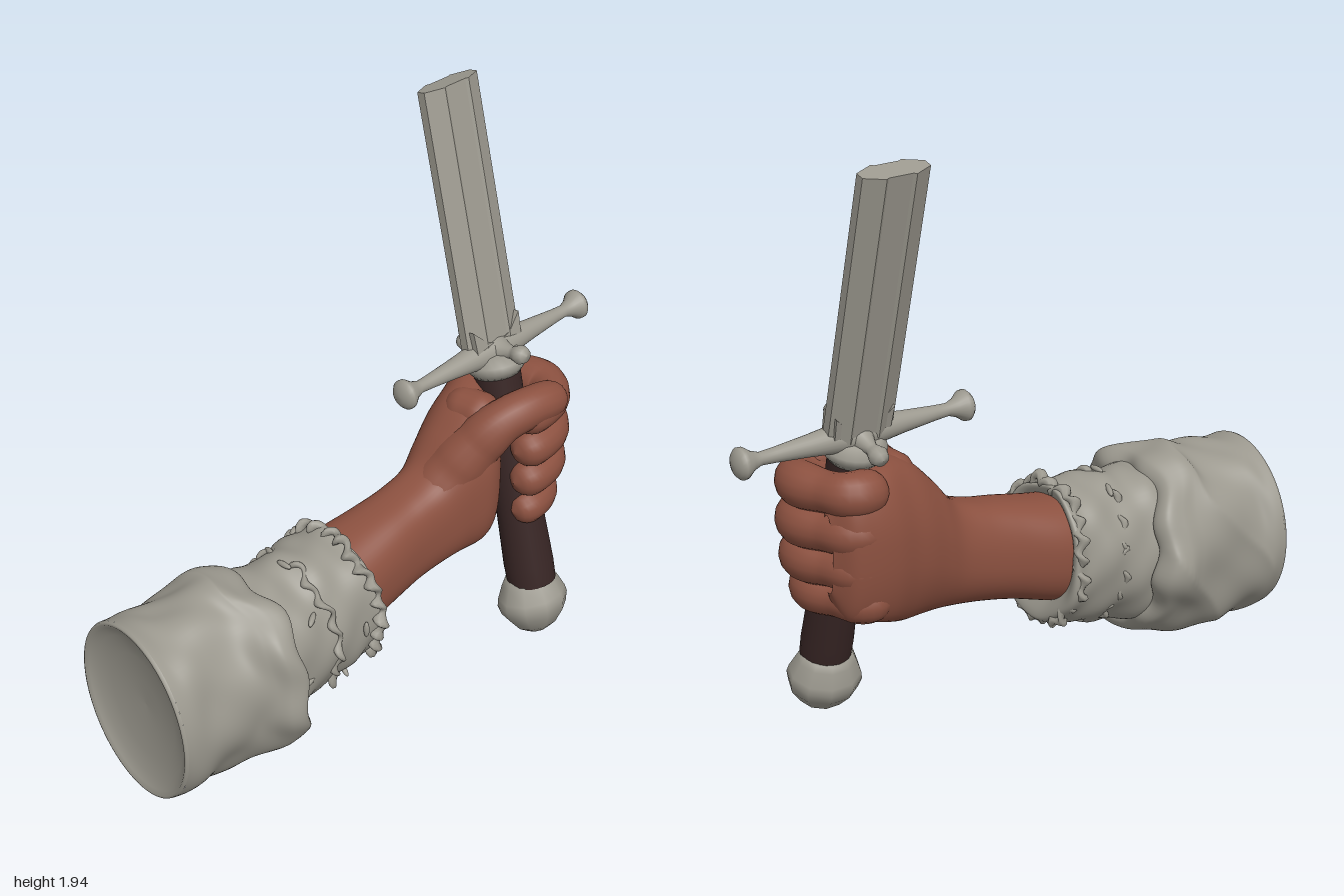
import * as THREE from 'three';

const V = (x, y, z) => new THREE.Vector3(x, y, z);
const material = (name, color) => Object.assign(new THREE.MeshStandardMaterial({ color }), { name });
const { lerp, smoothstep } = THREE.MathUtils;

// Closed surface through rings of equal length; rings turn about the direction of travel
function skin(rings, closed = false) {
  const n = rings[0].length, pos = [], index = [];
  rings.forEach(r => r.forEach(p => pos.push(p.x, p.y, p.z)));
  const last = closed ? rings.length : rings.length - 1;
  for (let i = 0; i < last; i++) for (let j = 0; j < n; j++) {
    const k = (j + 1) % n, m = (i + 1) % rings.length;
    const a = i * n + j, b = i * n + k, c = m * n + k, d = m * n + j;
    index.push(a, b, c, a, c, d);
  }
  const g = new THREE.BufferGeometry();
  g.setAttribute('position', new THREE.Float32BufferAttribute(pos, 3));
  g.setIndex(index);
  g.computeVertexNormals();
  return g;
}

// Loft running towards -z through keys [z, xMin, xMax, yMin, yMax]
function loft(keys, rows, cols, bump, shift = () => 0, power = 1) {
  const spline = f => new THREE.CatmullRomCurve3(keys.map(f), false, 'catmullrom', 0.5);
  const centre = spline(k => V((k[1] + k[2]) / 2, (k[3] + k[4]) / 2, k[0]));
  const radius = spline(k => V((k[2] - k[1]) / 2, (k[4] - k[3]) / 2, 0));
  const round = v => Math.sign(v) * Math.abs(v) ** power;
  const rings = [];
  for (let i = 0; i <= rows; i++) {
    const c = centre.getPoint(i / rows), r = radius.getPoint(i / rows), ring = [];
    for (let j = 0; j < cols; j++) {
      const a = j / cols * Math.PI * 2, s = 1 + bump(a, c.z);
      ring.push(V(c.x + round(Math.cos(a)) * r.x * s, c.y - round(Math.sin(a)) * r.y * s, c.z + shift(a, c.z)));
    }
    rings.push(ring);
  }
  return skin(rings);
}

// Round-ended limb along a curve, with a radius for every point
function limb(points, radii, rows = 48, cols = 16) {
  const curve = new THREE.CatmullRomCurve3(points);
  const frames = curve.computeFrenetFrames(rows);
  const length = curve.getLength(), rings = [];
  for (let i = 0; i <= rows; i++) {
    const t = i / rows, f = t * (radii.length - 1), k = Math.min(Math.floor(f), radii.length - 2);
    let r = lerp(radii[k], radii[k + 1], smoothstep(f - k, 0, 1));
    const end = Math.min(t, 1 - t) * length;
    if (end < r) r = Math.max(0.001, Math.sqrt(r * r - (r - end) ** 2));
    const p = curve.getPointAt(t), ring = [];
    for (let j = 0; j < cols; j++) {
      const a = j / cols * Math.PI * 2;
      ring.push(p.clone().addScaledVector(frames.normals[i], Math.cos(a) * r).addScaledVector(frames.binormals[i], Math.sin(a) * r));
    }
    rings.push(ring);
  }
  return skin(rings);
}

const lathe = (pts, sides = 24) => new THREE.LatheGeometry(pts.map(p => new THREE.Vector2(...p)), sides);

// Plate drawn in (u, v) and extruded, centred on its depth
function plate(pts, depth) {
  const g = new THREE.ExtrudeGeometry(new THREE.Shape(pts.map(p => new THREE.Vector2(...p))), { depth, bevelEnabled: false });
  return g.translate(0, 0, -depth / 2);
}

export function createModel() {
  const model = new THREE.Group();
  model.name = 'armWithSword';
  const metal = material('steelGrey', 0x9c998f);
  const cloth = material('clothGrey', 0x9b988e);
  const flesh = material('skinBrown', 0x8c5140);
  const leather = material('darkLeather', 0x372524);
  const add = (parent, name, geometry, mat) => {
    const m = new THREE.Mesh(geometry, mat);
    m.name = name;
    parent.add(m);
    return m;
  };

  // Sword, leaning towards -x, with its origin at the guard
  const sword = new THREE.Group();
  sword.name = 'sword';
  sword.position.set(-0.02, 1.03, -0.57);
  sword.rotation.z = 0.2545;
  model.add(sword);

  // Blade: bevelled edges, two ridges and a shallow fuller on each face, square end
  const half = [[0.016, -0.117], [0.045, -0.052], [0.039, -0.042], [0.039, 0.042], [0.045, 0.052], [0.016, 0.117]];
  const blade = plate([...half, ...half.map(([x, z]) => [-x, -z])], 0.92);
  add(sword, 'blade', blade.rotateX(-Math.PI / 2).translate(-0.006, 0.462, 0), metal);
  const langet = plate([[-0.1, 0], [0.1, 0], [0.105, 0.1], [0.05, 0.045], [0, 0.03], [-0.05, 0.045], [-0.105, 0.1]], 0.075);
  add(sword, 'langet', langet.rotateY(Math.PI / 2), metal);

  // Cross guard with flared ends and small side knobs
  for (const s of [1, -1]) {
    const arm = lathe([[0.055, 0], [0.048, 0.06], [0.035, 0.17], [0.024, 0.29], [0.021, 0.34], [0.032, 0.37], [0.05, 0.395], [0.051, 0.408], [0.04, 0.42], [0.02, 0.429], [0, 0.43]]);
    add(sword, 'guardArm', arm.rotateX(s * Math.PI / 2), metal);
    const knob = lathe([[0.065, 0], [0.035, 0.05], [0.02, 0.09], [0.026, 0.108], [0.033, 0.13], [0.024, 0.152], [0, 0.16]], 16);
    add(sword, 'guardKnob', knob.rotateZ(-s * Math.PI / 2), metal);
  }
  add(sword, 'collar', lathe([[0, -0.085], [0.08, -0.085], [0.1, -0.06], [0.104, -0.035], [0.08, -0.005], [0, 0]]), metal);

  // Grip
  add(sword, 'grip', lathe([[0.084, -0.87], [0.086, -0.8], [0.08, -0.6], [0.076, -0.3], [0.08, -0.06]]), leather);
  // Pommel with a sharp waist and a blunt, faceted foot
  const pommel = lathe([[0, -1.064], [0.045, -1.06], [0.08, -1.035], [0.118, -0.985], [0.127, -0.95], [0.122, -0.925], [0.1, -0.875], [0.088, -0.855], [0.075, -0.85], [0, -0.85]], 10);
  add(sword, 'pommel', pommel.scale(0.92, 1, 1), metal).position.x = -0.012;

  // Forearm widening into the back of the hand and the palm
  const armKeys = [
    [0.3, -0.17, 0.16, 0.25, 0.61], [0.15, -0.165, 0.16, 0.27, 0.63], [0, -0.135, 0.15, 0.31, 0.66], [-0.12, -0.12, 0.14, 0.335, 0.685],
    [-0.22, -0.12, 0.145, 0.35, 0.725], [-0.3, -0.14, 0.165, 0.36, 0.815], [-0.38, -0.165, 0.185, 0.365, 0.895], [-0.45, -0.18, 0.15, 0.375, 0.93],
    [-0.53, -0.2, 0.05, 0.41, 0.935], [-0.61, -0.2, 0.0, 0.44, 0.925], [-0.68, -0.18, -0.01, 0.46, 0.91], [-0.725, -0.12, -0.06, 0.56, 0.82]];
  const tendons = (a, z) => 0.012 * Math.sin(a * 5 + z * 4) * smoothstep(-z, -0.2, 0.2);
  add(model, 'forearmAndPalm', loft(armKeys, 90, 56, tendons, () => 0, 0.85), flesh);

  // Four fingers curling round the grip
  const hand = new THREE.Group();
  hand.name = 'fingers';
  model.add(hand);
  [[0.874, 0.07, -0.71], [0.747, 0.073, -0.71], [0.625, 0.071, -0.703], [0.507, 0.067, -0.675]].forEach(([y, r, back], i) => {
    const path = [V(-0.11, y, -0.53), V(-0.115, y + 0.005, back + 0.06), V(-0.03, y, back + 0.015), V(0.085, y - 0.003, back - 0.008),
      V(0.15, y - 0.005, back + 0.04), V(0.173, y - 0.01, back + 0.13), V(0.165, y - 0.015, -0.495)];
    add(hand, 'finger' + (i + 1), limb(path, [r, r * 1.06, r * 0.94, r * 1.06, r * 0.97, r * 0.97, r * 0.88]), flesh);
  });
  // Thumb rising out of the palm and laid over the first finger
  const thumb = [V(0.01, 0.55, -0.21), V(0.045, 0.68, -0.315), V(0.095, 0.79, -0.385), V(0.14, 0.868, -0.45), V(0.17, 0.898, -0.54), V(0.178, 0.895, -0.62), V(0.168, 0.872, -0.7)];
  add(model, 'thumb', limb(thumb, [0.07, 0.108, 0.1, 0.085, 0.073, 0.068, 0.058]), flesh);
  // Web of flesh between thumb and first finger
  const web = [V(-0.08, 0.852, -0.42), V(0.02, 0.86, -0.44), V(0.12, 0.86, -0.45)];
  add(model, 'thumbWeb', limb(web, [0.075, 0.075, 0.075], 24), flesh);

  // Upper sleeve with deep diagonal folds, a ragged hem and a dished, slanting end
  const endSlant = (a, s) => 0.022 * (s * Math.cos(a) - 1);
  const folds = (a, z) => {
    const fade = smoothstep(1 - z, 0.0, 0.15);
    const ridge = 1 - 2 * Math.abs(Math.sin(a * 1.5 + z * 9 + 0.8 * Math.sin(a * 2)));
    return fade * (0.035 * ridge * Math.sin(a / 2) ** 2 + 0.025 * Math.sin(a * 5 - z * 14) + 0.01 * Math.sin(a * 9 + z * 24));
  };
  const hem = (a, z) => {
    const ragged = 0.045 + 0.03 * Math.cos(a) - 0.035 * Math.sin(a) + 0.015 * Math.sin(a * 3 + 1) + 0.012 * Math.sin(a * 8);
    return smoothstep(z, 0.85, 0.985) * endSlant(a, 1) + smoothstep(-z, -0.75, -0.5) * ragged;
  };
  const upperKeys = [
    [0.99, -0.325, 0.24, 0.045, 0.665], [0.93, -0.32, 0.24, 0.03, 0.66], [0.82, -0.295, 0.225, 0.025, 0.675], [0.7, -0.295, 0.235, 0.02, 0.685],
    [0.6, -0.305, 0.27, 0.03, 0.7], [0.53, -0.315, 0.31, 0.05, 0.7], [0.47, -0.3, 0.31, 0.075, 0.685], [0.45, -0.24, 0.23, 0.12, 0.64], [0.49, -0.2, 0.18, 0.16, 0.6]];
  add(model, 'upperSleeve', loft(upperKeys, 96, 96, folds, hem), cloth);
  const endCap = [];
  for (const [s, z] of [[0, 0.95], [0.3, 0.953], [0.6, 0.962], [0.82, 0.976], [0.92, 0.992], [0.965, 1.001], [0.99, 0.999], [1, 0.99]]) {
    const ring = [];
    for (let j = 0; j < 96; j++) {
      const a = j / 96 * Math.PI * 2;
      ring.push(V(-0.0425 + Math.cos(a) * 0.2825 * s, 0.355 - Math.sin(a) * 0.31 * s, z + endSlant(a, s)));
    }
    endCap.push(ring);
  }
  add(model, 'sleeveEnd', skin(endCap), cloth);

  // Lower sleeve, turned in at the wrist
  const creases = (a, z) => 0.02 * Math.sin(a * 4 + z * 22) + 0.014 * Math.sin(a * 7 - z * 31) + 0.012 * Math.sin(a * 2 + z * 50);
  const slant = a => -0.025 * Math.sin(a);
  const cuffKeys = [
    [0.65, -0.23, 0.22, 0.09, 0.65], [0.5, -0.225, 0.215, 0.1, 0.65], [0.4, -0.215, 0.21, 0.13, 0.645], [0.3, -0.215, 0.21, 0.155, 0.66],
    [0.2, -0.21, 0.21, 0.18, 0.66], [0.15, -0.215, 0.215, 0.19, 0.67], [0.145, -0.19, 0.19, 0.22, 0.65], [0.18, -0.14, 0.14, 0.28, 0.6]];
  add(model, 'lowerSleeve', loft(cuffKeys, 72, 80, creases, slant), cloth);

  // Ragged frills round the wrist and the middle of the lower sleeve
  const frill = (name, z, cx, cy, rx, ry, lobes, thick) => {
    const rings = [];
    for (let i = 0; i < 240; i++) {
      const a = i / 240 * Math.PI * 2, ring = [];
      const out = 0.01 * Math.sin(a * lobes) + 0.008 * Math.sin(a * 9 + 1);
      const r = thick * (1 + 0.3 * Math.sin(a * lobes + 2));
      const along = 0.01 * Math.cos(a * lobes) + 0.008 * Math.sin(a * 5);
      for (let j = 0; j < 8; j++) {
        const b = j / 8 * Math.PI * 2, d = out + r * Math.cos(b);
        ring.push(V(cx + Math.cos(a) * (rx + d), cy - Math.sin(a) * (ry + d), z + slant(a) + along + r * Math.sin(b)));
      }
      rings.push(ring);
    }
    add(model, name, skin(rings, true), cloth);
  };
  frill('wristFrill', 0.165, 0.005, 0.43, 0.215, 0.238, 23, 0.018);
  frill('middleFrill', 0.345, 0.008, 0.4, 0.21, 0.247, 17, 0.012);

  // Loose tatters, a stud and a knot
  for (let i = 0; i < 9; i++) {
    const a = i * 2.4;
    const tatter = add(model, 'tatter', new THREE.SphereGeometry(1, 10, 8), cloth);
    tatter.scale.set(0.01, 0.03, 0.01);
    tatter.position.set(Math.cos(a) * 0.21, 0.41 - Math.sin(a) * 0.25, 0.22 + (i * 0.37 % 1) * 0.24);
    tatter.rotation.set(i, 0, Math.PI - a);
  }
  add(model, 'stud', new THREE.SphereGeometry(0.03, 14, 10), cloth).position.set(0.19, 0.6, 0.57);
  add(model, 'knot', new THREE.SphereGeometry(0.045, 14, 10), cloth).position.set(0.08, 0.12, 0.47);

  return model;
}
